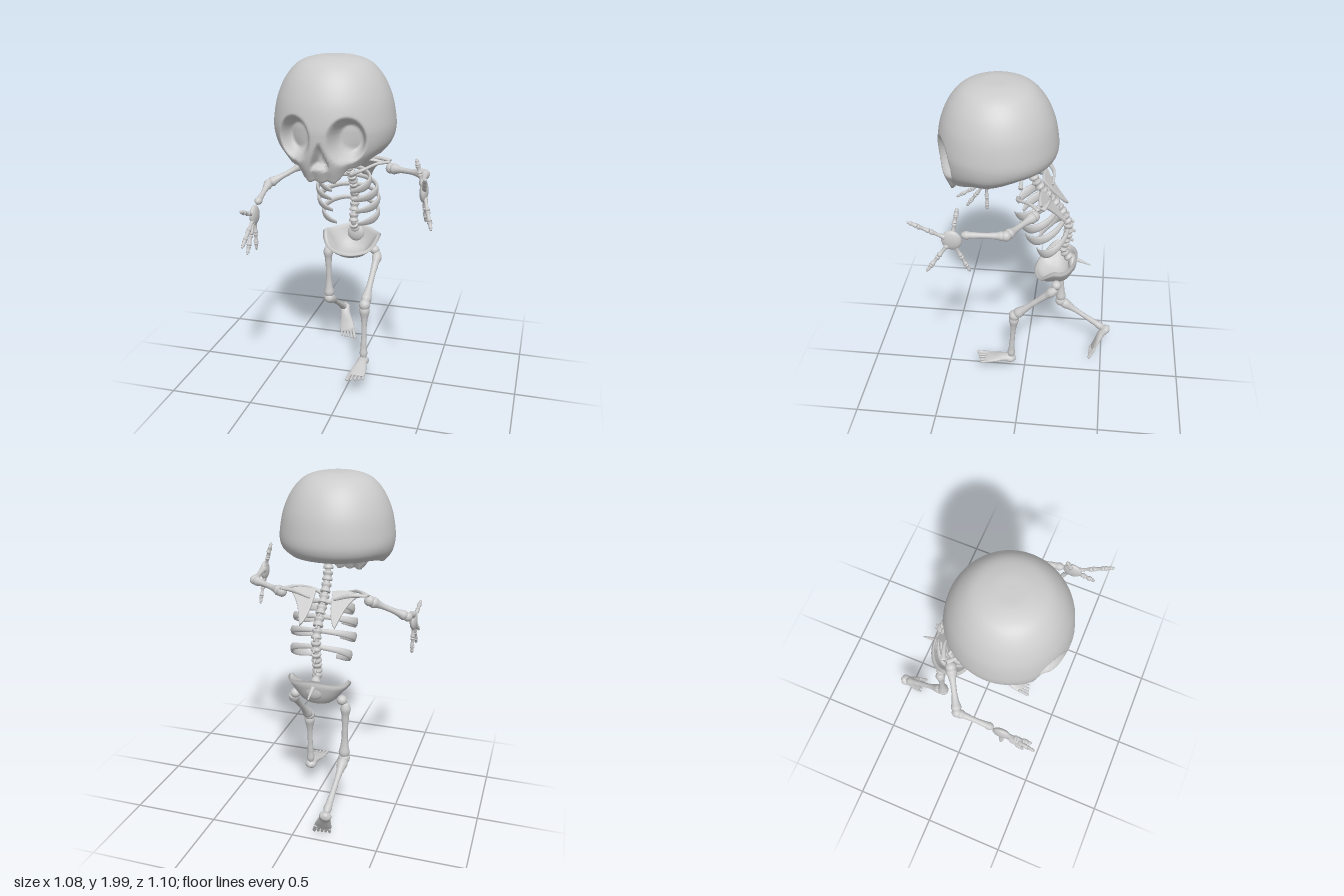
import * as THREE from 'three';

const V = (x, y, z) => new THREE.Vector3(x, y, z);
const ss = THREE.MathUtils.smoothstep;
const CX = -0.065; // centre line of the body
const material = new THREE.MeshStandardMaterial({ color: 0xcccccc });

function mesh(name, geometry, parent) {
  const m = new THREE.Mesh(geometry, material);
  m.name = name;
  parent.add(m);
  return m;
}

// Skin closed rings of equal size, with a fan on each end
function loft(rings) {
  const n = rings[0].length, index = [], all = rings.flat();
  const centre = r => r.reduce((s, p) => s.add(p), V(0, 0, 0)).divideScalar(n);
  for (let i = 0; i < rings.length - 1; i++)
    for (let j = 0; j < n; j++) {
      const a = i * n + j, b = i * n + (j + 1) % n;
      index.push(a, b, b + n, a, b + n, a + n);
    }
  const c0 = all.length, last = c0 - n;
  for (let j = 0; j < n; j++) {
    const k = (j + 1) % n;
    index.push(c0, k, j, c0 + 1, last + j, last + k);
  }
  all.push(centre(rings[0]), centre(rings[rings.length - 1]));
  const g = new THREE.BufferGeometry().setFromPoints(all);
  g.setIndex(index);
  g.computeVertexNormals();
  return g;
}

// Elliptical section [w, h] swept along points
function sweep(pts, sizes, steps = 24, sides = 12, up) {
  const path = new THREE.CatmullRomCurve3(pts);
  const size = new THREE.CatmullRomCurve3(sizes.map(s => V(s[0], s[1], 0)), false, 'catmullrom');
  const rings = [];
  for (let i = 0; i <= steps; i++) {
    const u = i / steps, p = path.getPoint(u), s = size.getPoint(u), t = path.getTangent(u);
    const u0 = up || (Math.abs(t.y) > 0.9 ? V(1, 0, 0) : V(0, 1, 0));
    const side = u0.clone().cross(t).normalize(), n = t.clone().cross(side);
    rings.push(Array.from({ length: sides }, (_, j) => {
      const a = j / sides * Math.PI * 2;
      return p.clone().addScaledVector(side, s.x * Math.cos(a)).addScaledVector(n, s.y * Math.sin(a));
    }));
  }
  return loft(rings);
}

// Straight bone: thin shaft with a knob on each end
function bone(name, a, b, r, parent, r0 = 2, r1 = 2, steps = 28, sides = 14) {
  const k = [0.6 * r0, r0, 0.75 * r0, 1.15, 1, 1, 1, 1.15, 0.8 * r1, r1, 0.5 * r1];
  const pts = k.map((_, i) => a.clone().lerp(b, i / (k.length - 1)));
  mesh(name, sweep(pts, k.map(s => [s * r, s * r]), steps, sides), parent);
}

function ball(name, p, sx, sy, sz, parent) {
  const m = mesh(name, new THREE.SphereGeometry(1, 20, 14), parent);
  m.position.copy(p);
  m.scale.set(sx, sy, sz);
}

// Skull: recessed underside, rim that drops to the jaw, dome, dented sockets and nose
function skull(parent) {
  const N = 200, ROWS = 84, CZ = 0.15;
  const profile = new THREE.CatmullRomCurve3([[0.275, 1.5], [0.315, 1.55], [0.333, 1.62], [0.328, 1.7],
    [0.305, 1.8], [0.255, 1.9], [0.19, 1.965], [0.1, 1.995], [0.002, 2]].map(p => V(p[0], p[1], 0)));
  const rim = a => 1.38 + 0.065 * ss(a, 0.3, 0.55) + 0.05 * ss(a, 0.55, 1.3) + 0.04 * ss(a, 1.3, 2.2)
    - (a < 0.3 ? 0.014 * Math.abs(Math.sin(a * 13 + 1.57)) : 0);
  const ring = f => Array.from({ length: N }, (_, j) => {
    const a = j / N * Math.PI * 2;
    const [r, y] = f(Math.min(a, Math.PI * 2 - a));
    return V(CX + r * Math.sin(a), y, CZ + r * Math.cos(a));
  });
  const inside = [ring(() => [0.002, 1.56]), ring(() => [0.1, 1.55]), ring(() => [0.17, 1.52]),
    ring(a => [0.225, (rim(a) + 1.52) / 2]), ring(a => [0.25, rim(a) + 0.012]), ring(a => [0.262, rim(a) + 0.001])];
  const outside = [];
  for (let i = 0; i <= ROWS; i++) {
    const p = profile.getPointAt(i / ROWS);
    outside.push(ring(a => [p.x, p.y < 1.62 ? 1.62 - (1.62 - p.y) / 0.12 * (1.62 - rim(a)) : p.y]));
  }
  outside.flat().filter(p => p.z > 0.25).forEach(p => {
    const x = Math.abs(p.x - CX);
    const e = Math.hypot((x - 0.14) / 0.092, (p.y - 1.6) / 0.118);
    const half = 0.042 * (1.575 - p.y) / 0.11;
    p.z -= 0.11 * (1 - ss(e, 0.55, 1.08))
      + 0.06 * ss(half - x, -0.012, 0.014) * ss(p.y, 1.445, 1.47) * (1 - ss(p.y, 1.56, 1.58));
  });
  mesh('skull', loft([...inside, ...outside]), parent);
}

function spine(parent) {
  const path = new THREE.CatmullRomCurve3([V(CX, 1.54, -0.02), V(CX, 1.45, -0.035), V(CX, 1.34, -0.1),
    V(CX, 1.24, -0.19), V(CX, 1.13, -0.25), V(CX, 1.04, -0.25), V(CX, 0.94, -0.225), V(CX, 0.87, -0.27)]);
  const COUNT = 11;
  const waist = [1, 1.1, 0.95, 0.8, 0.95, 1.1, 1].map(k => [0.027 * k, 0.027 * k]);
  for (let i = 0; i < COUNT; i++) {
    const a = path.getPointAt((i + 0.08) / COUNT), b = path.getPointAt((i + 0.86) / COUNT);
    mesh('vertebra', sweep(waist.map((_, k) => a.clone().lerp(b, k / 6)), waist, 12, 14), parent);
    // Short spur pointing back and down
    if (i > 2) mesh('vertebraSpur', sweep([a.clone().lerp(b, 0.4), a.clone().lerp(b, 0.8).add(V(0, -0.01, -0.042))],
      [[0.009, 0.014], [0.005, 0.008]], 4, 8), parent);
  }
  mesh('discs', new THREE.TubeGeometry(path, 60, 0.017, 10), parent);
  mesh('tailbone', sweep([V(CX, 0.89, -0.25), V(CX, 0.865, -0.31), V(CX, 0.83, -0.395)],
    [[0.022, 0.016], [0.013, 0.011], [0.004, 0.004]], 12, 10), parent);
}

// Ribs, shoulder blade and collar bone for one side
function chest(s, parent) {
  const ribs = [ // back y, back z, front y, front z, half width
    [1.32, -0.13, 1.21, 0.06, 0.15], [1.25, -0.19, 1.15, 0.03, 0.18],
    [1.18, -0.23, 1.07, 0.0, 0.183], [1.09, -0.25, 0.97, -0.07, 0.172]];
  for (const [y0, z0, y1, z1, w] of ribs) {
    const pts = [];
    for (let i = 0; i <= 10; i++) {
      const a = 0.1 + i / 10 * 2.65, f = (1 - Math.cos(a)) / 2;
      pts.push(V(CX + s * w * Math.sin(a), y0 + (y1 - y0) * f, z0 + (z1 - z0) * f));
    }
    mesh('rib', sweep(pts, [[0.011, 0.013], [0.01, 0.018], [0.01, 0.024], [0.01, 0.029], [0.004, 0.012]], 32, 10, V(0, 1, 0.4)), parent);
  }
  const blade = new THREE.Shape();
  blade.moveTo(s * 0.055, 0.09);
  blade.quadraticCurveTo(s * 0.13, 0.11, s * 0.2, 0.085);
  blade.quadraticCurveTo(s * 0.13, 0.03, s * 0.1, -0.12);
  blade.quadraticCurveTo(s * 0.06, -0.06, s * 0.055, 0.09);
  const plate = mesh('shoulderBlade', new THREE.ExtrudeGeometry(blade,
    { depth: 0.006, bevelSize: 0.006, bevelThickness: 0.006, bevelSegments: 2, curveSegments: 10 }), parent);
  plate.position.set(CX, 1.3, -0.16);
  plate.rotation.x = 0.7;
  mesh('shoulderBladeRidge', sweep([V(CX + s * 0.07, 1.34, -0.15), V(CX + s * 0.16, 1.37, -0.15), V(CX + s * 0.25, 1.37, -0.12)],
    [[0.006, 0.008], [0.009, 0.012], [0.016, 0.008]], 16, 10), parent);
  mesh('collarBone', sweep([V(CX + s * 0.05, 1.31, 0.035), V(CX + s * 0.12, 1.34, 0.03), V(CX + s * 0.19, 1.365, -0.04), V(CX + s * 0.25, 1.365, -0.1)],
    [[0.014, 0.014], [0.009, 0.009], [0.009, 0.009], [0.015, 0.008]], 24, 10), parent);
}

// Thick bowl, high behind and low in front
function pelvis(parent) {
  const N = 48, ring = (k, h, t) => Array.from({ length: N }, (_, j) => {
    const a = j / N * Math.PI * 2, c = Math.cos(a);
    const top = 0.885 - 0.1 * ss(c, -0.1, 0.8) - 0.012 * Math.cos(3 * a);
    const flare = 0.8 + 0.2 * ss(h, 0.3, 1);
    return V(CX + Math.sin(a) * k * 0.185 * flare, 0.735 + t + (top - 0.735) * h, -0.185 + c * k * 0.13);
  });
  const wall = [[0.02, 0], [0.3, 0.01], [0.55, 0.08], [0.75, 0.25], [0.88, 0.5], [0.96, 0.78], [1, 0.96]];
  const outer = wall.map(([k, h]) => ring(k, h, 0));
  const inner = wall.map(([k, h]) => ring(k * 0.91, h, 0.012)).reverse();
  mesh('pelvis', loft([...outer, ...inner]), parent);
  ball('sacrum', V(CX, 0.84, -0.285), 0.055, 0.055, 0.025, parent);
}

function arm(side, shoulder, elbow, wrist, palm, tips, parent) {
  const g = new THREE.Group();
  g.name = side + 'Arm';
  parent.add(g);
  bone('upperArm', shoulder, elbow, 0.016, g, 2, 1.8);
  ball('shoulderJoint', shoulder, 0.031, 0.031, 0.031, g);
  ball('elbowJoint', elbow, 0.028, 0.028, 0.028, g);
  bone('forearm', elbow, wrist, 0.015, g, 1.7, 1.5);
  ball('palm', palm, 0.022, 0.058, 0.055, g);
  const joints = [0, 0.42, 0.74, 1];
  for (const tip of tips) {
    const d = tip.clone().sub(palm).normalize(), base = palm.clone().addScaledVector(d, 0.035);
    for (let i = 0; i < 3; i++)
      bone('fingerBone', base.clone().lerp(tip, joints[i]), base.clone().lerp(tip, joints[i + 1]),
        0.0095, g, 1.6, i < 2 ? 1.6 : 0.8, 14, 8);
  }
}

function leg(side, s, hip, knee, ankle, pitch, yaw, parent) {
  const g = new THREE.Group();
  g.name = side + 'Leg';
  parent.add(g);
  bone('thigh', hip, knee, 0.018, g, 1.7, 1.8);
  ball('hipJoint', hip.clone().add(V(-s * 0.022, 0.015, 0)), 0.03, 0.028, 0.03, g);
  ball('kneeJoint', knee, 0.034, 0.034, 0.034, g);
  bone('shin', knee, ankle, 0.016, g, 2, 1.5);
  const foot = new THREE.Group();
  foot.name = 'foot';
  foot.position.copy(ankle);
  foot.rotation.set(pitch, yaw, 0);
  g.add(foot);
  mesh('footBody', sweep([V(0, -0.012, -0.032), V(0, -0.01, -0.01), V(0, -0.005, 0.04), V(0, -0.015, 0.11), V(0, -0.022, 0.165)],
    [[0.01, 0.01], [0.034, 0.026], [0.033, 0.024], [0.046, 0.014], [0.05, 0.007]], 24, 16), foot);
  for (let i = 0; i < 5; i++) {
    const x = -s * (0.04 - i * 0.02), len = 0.225 - i * 0.008, r = i ? 0.007 : 0.01;
    bone('toe', V(x, -0.021, 0.145), V(x * 1.12, -0.026, len), r, foot, 1.3, 1.2, 14, 8);
  }
}

export function createModel() {
  const model = new THREE.Group();
  model.name = 'skeleton';
  skull(model);
  spine(model);
  chest(1, model);
  chest(-1, model);
  pelvis(model);
  arm('left', V(0.2, 1.335, -0.075), V(0.42, 1.35, 0.05), V(0.45, 1.36, 0.28), V(0.465, 1.335, 0.33),
    [V(0.415, 1.5, 0.3), V(0.505, 1.46, 0.545), V(0.53, 1.17, 0.46), V(0.465, 1.14, 0.24)], model);
  arm('right', V(-0.32, 1.33, -0.075), V(-0.515, 1.22, 0.04), V(-0.505, 1.165, 0.25), V(-0.503, 1.11, 0.3),
    [V(-0.51, 1.185, 0.475), V(-0.5, 0.985, 0.5), V(-0.5, 0.92, 0.435), V(-0.5, 0.9, 0.3)], model);
  leg('left', 1, V(0.1, 0.755, -0.2), V(0.08, 0.51, 0.055), V(0.08, 0.155, 0.08), 0, 0, model);
  leg('right', -1, V(-0.23, 0.755, -0.215), V(-0.225, 0.4, -0.215), V(-0.207, 0.195, -0.515), 0.97, 0.25, model);
  return model;
}
